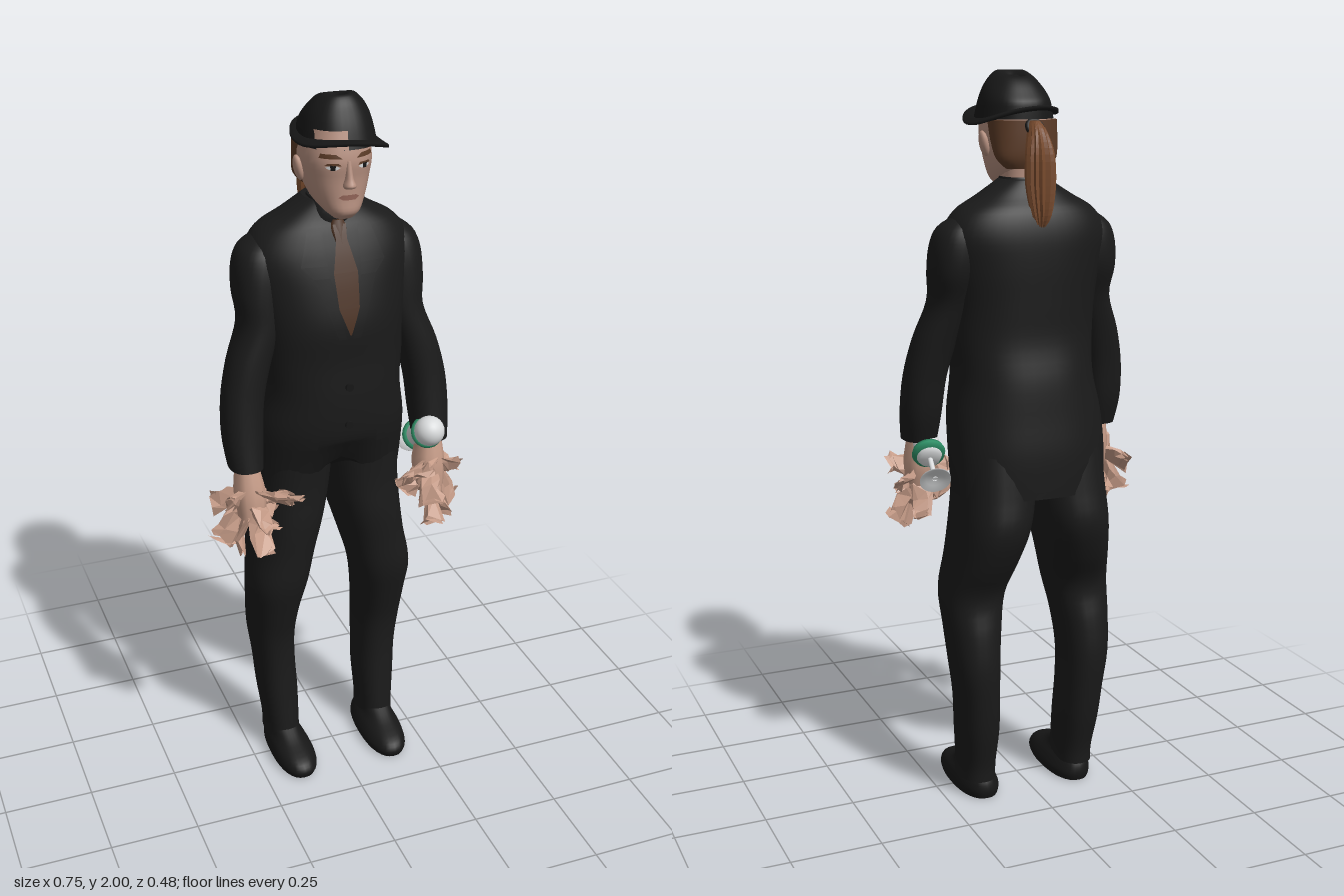
import * as THREE from 'three';

const mat = (name, color, side = THREE.FrontSide) =>
  Object.assign(new THREE.MeshStandardMaterial({ color, side }), { name });
const D = THREE.DoubleSide;
const M = {
  suit: mat('suit cloth', 0x1a1a1a, D), black: mat('black felt and leather', 0x171717, D),
  face: mat('face skin', 0xb58f7f), hand: mat('hand skin', 0xc69c88, D),
  hair: mat('auburn hair', 0x774a2d, D), crop: mat('cropped hair', 0x5a3a26),
  tie: mat('brown tie', 0x4a3020, D), lips: mat('lips', 0x8f6256, D),
  white: mat('white casing', 0xd8dadb, D), green: mat('green ring', 0x2e8f66),
};
const POW = 2.35; // squareness of the rounded cross-sections

// Cross-section rows are [y, xMin, xMax, zMin, zMax]; refined with a smooth spline.
function refine(rows, k) {
  const out = [];
  for (let i = 0; i < rows.length - 1; i++) for (let j = 0; j < k; j++) {
    const t = j / k, a = rows[Math.max(i - 1, 0)], b = rows[i], c = rows[i + 1], d = rows[Math.min(i + 2, rows.length - 1)];
    out.push(b.map((v, n) => v + 0.5 * t * (c[n] - a[n] + t * (2 * a[n] - 5 * v + 4 * c[n] - d[n] + t * (3 * (v - c[n]) + d[n] - a[n])))));
  }
  out.push(rows.at(-1));
  return out;
}

// Closed skin through the rows; warp(p, angle) may move each vertex.
function loft(rows, { k = 4, n = 32, warp = null, flat = false } = {}) {
  const rs = refine(rows, k), pos = [], idx = [];
  const ring = ([y, x0, x1, z0, z1]) => {
    for (let j = 0; j < n; j++) {
      const a = j / n * Math.PI * 2, c = Math.cos(a), s = Math.sin(a);
      const p = new THREE.Vector3(
        (x0 + x1) / 2 + (x1 - x0) / 2 * Math.sign(c) * Math.abs(c) ** (2 / POW), y,
        (z0 + z1) / 2 + (z1 - z0) / 2 * Math.sign(s) * Math.abs(s) ** (2 / POW));
      if (warp) warp(p, a);
      pos.push(p.x, p.y, p.z);
    }
  };
  rs.forEach(ring);
  for (let i = 0; i < rs.length - 1; i++) for (let j = 0; j < n; j++) {
    const a = i * n + j, b = i * n + (j + 1) % n;
    idx.push(a, a + n, b, b, a + n, b + n);
  }
  [rs[0], rs.at(-1)].forEach((r, top) => { // end caps
    const o = pos.length / 3;
    ring(r);
    const m = new THREE.Vector3((r[1] + r[2]) / 2, r[0], (r[3] + r[4]) / 2);
    if (warp) warp(m, 0);
    pos.push(m.x, m.y, m.z);
    for (let j = 0; j < n; j++) {
      const a = o + j, b = o + (j + 1) % n;
      idx.push(o + n, ...(top ? [b, a] : [a, b]));
    }
  });
  let g = new THREE.BufferGeometry();
  g.setAttribute('position', new THREE.Float32BufferAttribute(pos, 3));
  g.setIndex(idx);
  if (flat) g = g.toNonIndexed();
  g.computeVertexNormals();
  return g;
}

// Front depth of a lofted body at x, y.
function depth(rows, x, y) {
  let i = 0;
  while (i < rows.length - 2 && rows[i + 1][0] < y) i++;
  const t = THREE.MathUtils.clamp((y - rows[i][0]) / (rows[i + 1][0] - rows[i][0]), 0, 1);
  const [, x0, x1, z0, z1] = rows[i].map((v, n) => v + (rows[i + 1][n] - v) * t);
  const u = Math.min(1, Math.abs(x - (x0 + x1) / 2) / ((x1 - x0) / 2));
  return (z0 + z1) / 2 + (z1 - z0) / 2 * (1 - u ** POW) ** (1 / POW);
}

// Thin strip lying on the front of a body; edge rows are [y, xLeft, xRight], from the top down.
function strip(body, edge, off) {
  const fine = refine(body, 6), pos = [], idx = [], across = 6, steps = 6, rows = [];
  for (let i = 0; i < edge.length - 1; i++) for (let j = 0; j <= steps; j++)
    rows.push(edge[i].map((v, n) => v + (edge[i + 1][n] - v) * j / steps));
  rows.forEach(([y, l, r]) => {
    for (let j = 0; j <= across; j++) {
      const x = l + (r - l) * j / across;
      pos.push(x, y, depth(fine, x, y) + off);
    }
  });
  for (let i = 0; i < rows.length - 1; i++) for (let j = 0; j < across; j++) {
    const a = i * (across + 1) + j, b = a + across + 1;
    idx.push(a, b, a + 1, a + 1, b, b + 1);
  }
  const g = new THREE.BufferGeometry();
  g.setAttribute('position', new THREE.Float32BufferAttribute(pos, 3));
  g.setIndex(idx);
  g.computeVertexNormals();
  return g;
}

const side = (rows, s) => rows.map(([y, a, b, c, d]) => s > 0 ? [y, a, b, c, d] : [y, -b, -a, c, d]);
const edges = (rows, s) => rows.map(([y, l, r]) => s > 0 ? [y, l, r] : [y, -r, -l]);

const JACKET = [[.89, -.213, .213, -.226, .07], [1, -.215, .215, -.226, .1], [1.1, -.21, .21, -.215, .125],
  [1.2, -.19, .195, -.203, .13], [1.3, -.193, .198, -.182, .125], [1.4, -.2, .2, -.18, .126], [1.5, -.215, .215, -.18, .105],
  [1.58, -.225, .225, -.175, .08], [1.64, -.192, .195, -.158, .055], [1.68, -.128, .13, -.13, .035], [1.72, -.065, .065, -.105, .02]];
const ARM = [[1.635, .1, .19, -.09, -.02], [1.6, .1, .24, -.115, .02], [1.55, .11, .259, -.125, .04], [1.48, .13, .262, -.12, .052],
  [1.4, .145, .258, -.09, .06], [1.3, .18, .295, -.065, .07], [1.2, .205, .318, -.045, .08], [1.1, .215, .323, -.03, .095],
  [1.02, .222, .315, -.005, .11]].reverse();
const LEG = [[.05, .1, .2, -.125, .035], [.1, .1, .2, -.13, .03], [.2, .097, .21, -.155, .018], [.3, .1, .217, -.17, .01],
  [.4, .1, .23, -.178, .015], [.5, .09, .237, -.167, .04], [.6, .07, .242, -.15, .065], [.7, .045, .227, -.2, .07],
  [.8, .018, .215, -.235, .075], [.9, .0, .207, -.222, .07], [1.03, -.01, .2, -.2, .075]];
const SHOE = [[0, .085, .2, -.125, .155], [.02, .08, .205, -.13, .162], [.045, .09, .2, -.125, .14], [.07, .105, .19, -.11, .07], [.1, .11, .19, -.1, .01]];
const HEAD = [[1.695, -.026, .026, .04, .1], [1.715, -.048, .048, -.03, .121], [1.75, -.069, .069, -.08, .119], [1.8, -.084, .084, -.1, .118],
  [1.85, -.09, .09, -.103, .121], [1.92, -.078, .078, -.09, .1]];

export function createModel() {
  const root = new THREE.Group();
  const add = (name, g, m, parent = root) => {
    const o = new THREE.Mesh(g, m);
    o.name = name;
    parent.add(o);
    return o;
  };
  let seed = 7;
  const rnd = () => (seed = (seed * 16807) % 2147483647) / 2147483647 - .5;

  // Suit, with the jacket fronts cut away at the hem
  const cutaway = p => {
    if (p.z > 0 && p.y < 1.08) p.y += .6 * (1.08 - p.y) * Math.exp(-((p.x / .1) ** 2));
  };
  add('jacket', loft(JACKET, { n: 48, warp: cutaway }), M.suit);
  add('shirtCollar', loft([[1.64, -.085, .085, -.13, .04], [1.69, -.068, .068, -.105, .042], [1.725, -.055, .055, -.085, .03]]), M.suit);
  add('tie', strip(JACKET, [[1.665, -.018, .018], [1.63, -.015, .015], [1.55, -.032, .034], [1.46, -.026, .03], [1.39, 0, .004]], .009), M.tie);
  add('tieKnot', loft([[1.62, -.014, .014, .04, .073], [1.65, -.022, .022, .03, .06], [1.675, -.016, .016, .02, .048]], { n: 12 }), M.tie);
  for (const y of [1.24, 1.13]) {
    const b = add('button', new THREE.CylinderGeometry(.011, .011, .008, 12), M.black);
    b.rotation.x = Math.PI / 2;
    b.position.set(0, y, .132);
  }
  for (const s of [1, -1]) {
    add('lapel', strip(JACKET, edges([[1.66, .05, .085], [1.57, .045, .115], [1.54, .042, .085], [1.38, .008, .03]], s), .008), M.suit);
    add('pocketFlap', strip(JACKET, edges([[1.1, .08, .165], [1.06, .085, .17]], s), .008), M.suit);
    add('sleeve', loft(side(ARM, s)), M.suit);
    add('trouserLeg', loft(side(LEG, s)), M.suit);
    add('shoe', loft(side(SHOE, s)), M.black);

    // Hands with splayed, crumpled fingers that widen into ragged sheets
    const hand = new THREE.Group();
    hand.name = s > 0 ? 'leftHand' : 'rightHand';
    root.add(hand);
    add('palm', loft(side([[.88, .225, .3, .03, .12], [.95, .22, .305, .015, .115], [1.04, .24, .295, .025, .09]], s), { n: 12 }), M.hand, hand);
    const tips = [[.34, .81, .05], [.305, .785, .1], [.25, .8, .15], [.17, .93, .13], [.19, .985, .225], [.345, .9, .01],
      [.2, .86, .06], [.335, .94, .11], [.28, .82, .0], [.23, .87, .16]];
    for (const [tx, ty, tz] of tips) {
      const dir = new THREE.Vector3(s * (tx - .262), ty - .945, tz - .07), len = dir.length();
      const rows = [0, .25, .5, .75, 1].map(t => {
        const w = .02 + .012 * t + .014 * rnd(), d = .009 + .006 * rnd(), ox = .016 * rnd(), oz = .016 * rnd();
        return [t * len, ox - w, ox + w, oz - d, oz + d];
      });
      const ragged = p => { p.x += .016 * rnd(); p.y += .035 * rnd(); p.z += .016 * rnd(); };
      const f = add('finger', loft(rows, { k: 1, n: 6, flat: true, warp: ragged }), M.hand, hand);
      f.position.set(s * .262, .945, .07);
      f.quaternion.setFromUnitVectors(new THREE.Vector3(0, 1, 0), dir.normalize());
    }
  }

  // Head and face
  const head = new THREE.Group();
  head.name = 'head';
  root.add(head);
  add('neck', loft([[1.64, -.052, .052, -.085, .02], [1.72, -.05, .05, -.08, .035], [1.77, -.05, .05, -.08, .05]]), M.face, head);
  add('skull', loft(HEAD), M.face, head);
  add('nose', loft([[1.778, -.01, .01, .1, .122], [1.788, -.016, .016, .1, .146], [1.808, -.01, .01, .1, .136], [1.85, -.007, .007, .1, .123]], { n: 12 }), M.face, head);
  add('mouth', strip(HEAD, [[1.764, -.018, .018], [1.758, -.028, .028], [1.751, -.016, .016]], .005), M.lips, head);
  add('croppedHair', loft([[1.748, -.058, .058, -.096, -.04], [1.775, -.083, .083, -.106, -.02], [1.82, -.09, .09, -.108, .012], [1.872, -.092, .092, -.106, .035]]), M.crop, head);
  for (const s of [1, -1]) {
    add('eye', strip(HEAD, edges([[1.84, .032, .05], [1.835, .024, .058], [1.83, .032, .05]], s), .003), M.white, head);
    add('iris', strip(HEAD, edges([[1.842, .035, .049], [1.829, .037, .047]], s), .005), M.black, head);
    add('eyelid', strip(HEAD, edges([[1.846, .028, .054], [1.84, .022, .06]], s), .005), M.crop, head);
    add('eyebrow', strip(HEAD, edges([[1.868, .034, .066], [1.857, .018, .07]], s), .004), M.crop, head);
    const ear = add('ear', new THREE.SphereGeometry(1, 14, 10), M.face, head);
    ear.scale.set(.012, .034, .02);
    ear.position.set(s * .092, 1.81, .002);
    ear.rotation.z = -s * .2;
  }

  // Ponytail with ridged strands, tapering to a point
  const strands = (p, a) => {
    const r = 1 + .08 * Math.cos(a * 14);
    p.x *= r;
    p.z = -.15 + (p.z + .15) * r;
  };
  add('ponytail', loft([[1.595, -.006, .006, -.165, -.15], [1.635, -.024, .024, -.183, -.138], [1.71, -.036, .036, -.188, -.122],
    [1.79, -.034, .034, -.184, -.116], [1.845, -.022, .022, -.163, -.105], [1.872, -.012, .012, -.135, -.095]],
  { n: 28, flat: true, warp: strands }), M.hair);
  const band = add('hairBand', new THREE.TorusGeometry(.02, .007, 8, 16), M.black);
  band.position.set(0, 1.855, -.118);
  band.rotation.x = .6;

  // Hat: brim curling up at front and back, crown sloping to the rear with a dented top
  const curl = p => { p.y += 1.4 * (p.z - .02) ** 2 - .1 * (p.x - .01); };
  add('hatBrim', loft([[1.872, -.08, .1, -.1, .12], [1.868, -.105, .125, -.13, .17], [1.876, -.105, .125, -.13, .17], [1.887, -.08, .1, -.1, .115]],
    { k: 1, n: 48, warp: curl }), M.black);
  const slope = p => { p.y -= .25 * Math.max(0, .02 - p.z) * THREE.MathUtils.smoothstep(p.y, 1.9, 1.98); };
  add('hatCrown', loft([[1.875, -.09, .107, -.112, .115], [1.92, -.081, .099, -.108, .1], [1.955, -.069, .087, -.096, .085],
    [1.982, -.05, .068, -.074, .07], [1.997, -.028, .046, -.045, .052], [1.985, -.01, .024, -.022, .03]], { n: 40, warp: slope }), M.black);

  // Hand-held device: domed head, ringed body, stem and dish
  const device = new THREE.Group();
  device.name = 'device';
  device.position.set(.275, .94, -.09);
  device.quaternion.setFromUnitVectors(new THREE.Vector3(0, 1, 0), new THREE.Vector3(-.035, .13, .22).normalize());
  root.add(device);
  const turned = (name, pts, m) => add(name, new THREE.LatheGeometry(pts.map(p => new THREE.Vector2(...p)), 28), m, device);
  add('domedHead', new THREE.SphereGeometry(.042, 24, 16), M.white, device).position.y = .238;
  turned('body', [[0, .075], [.028, .075], [.036, .09], [.036, .19], [.04, .205], [0, .205]], M.white);
  for (const y of [.1, .212]) turned('ring', [[.02, y - .013], [.041, y - .013], [.046, y], [.041, y + .013], [.02, y + .013]], M.green);
  turned('stem', [[.007, 0], [.007, .09]], M.white);
  turned('dish', [[0, .004], [.025, .001], [.042, -.006], [.042, -.001], [.025, .008], [0, .012]], M.white);
  return root;
}
